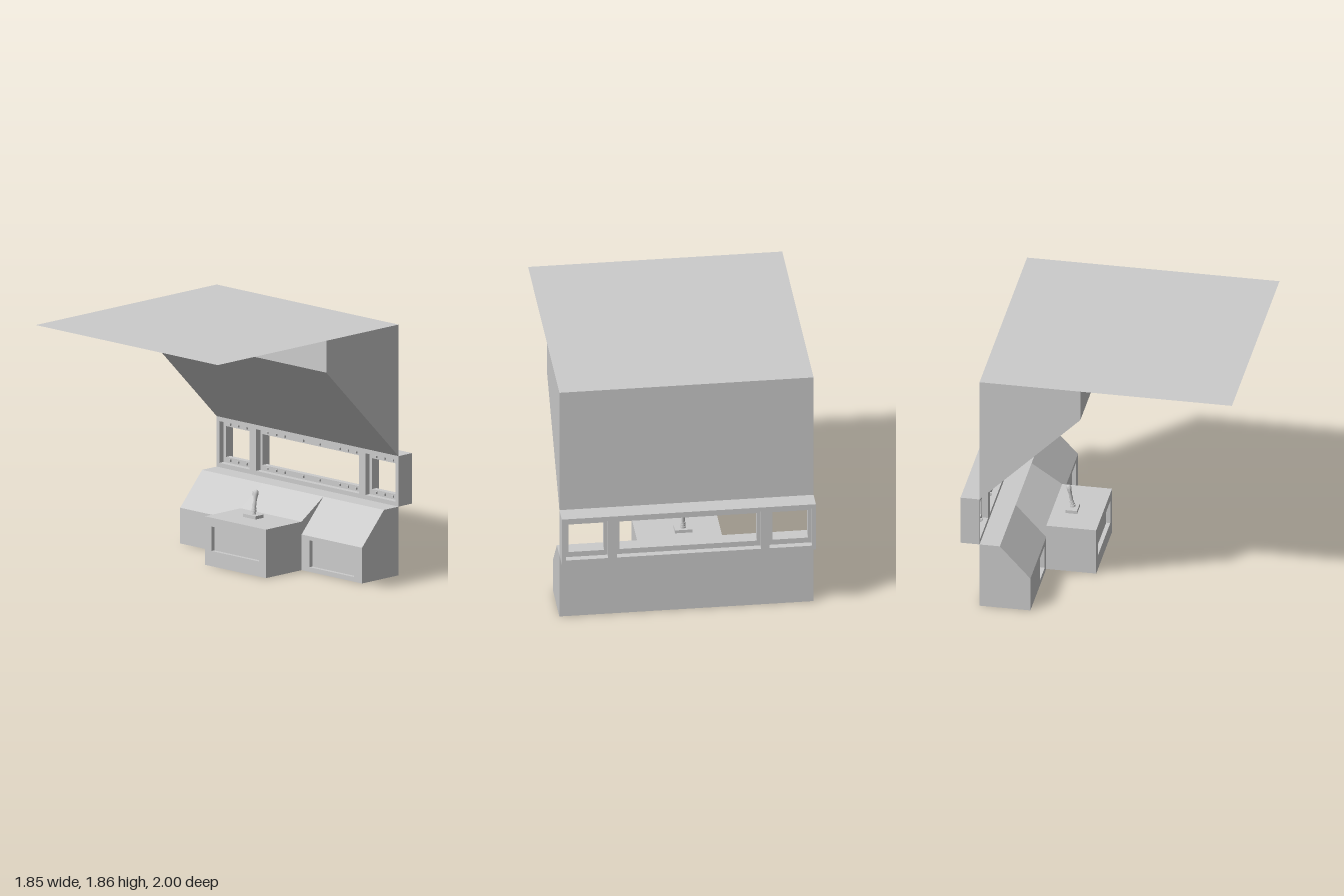
import * as THREE from 'three';

const mat = new THREE.MeshStandardMaterial({ color: 0xcccccc, side: THREE.DoubleSide, flatShading: true });
const smooth = new THREE.MeshStandardMaterial({ color: 0xcccccc });
const W = 0.927; // half width of the whole station

function add(parent, name, geo, x = 0, y = 0, z = 0, material = mat) {
  const m = new THREE.Mesh(geo, material);
  m.name = name;
  m.position.set(x, y, z);
  parent.add(m);
  return m;
}

function rect(T, [x0, x1, y0, y1]) {
  const s = new T();
  s.moveTo(x0, y0).lineTo(x1, y0).lineTo(x1, y1).lineTo(x0, y1).closePath();
  return s;
}

// Flat plate with rectangular openings, its front face at z
function plate(outer, holes, depth, z) {
  const s = rect(THREE.Shape, outer);
  s.holes = holes.map(h => rect(THREE.Path, h));
  return new THREE.ExtrudeGeometry(s, { depth, bevelEnabled: false }).translate(0, 0, z - depth);
}

// Shell swept along x from a [z, y] profile; edges listed in skip stay open
function shell(parent, name, x0, x1, profile, skip = []) {
  const g = new THREE.Group();
  g.name = name;
  parent.add(g);
  const pos = [];
  profile.forEach(([z, y], i) => {
    if (skip.includes(i)) return;
    const [z2, y2] = profile[(i + 1) % profile.length];
    const a = [x0, y, z], b = [x1, y, z], c = [x1, y2, z2], d = [x0, y2, z2];
    pos.push(...a, ...b, ...c, ...a, ...c, ...d);
  });
  const geo = new THREE.BufferGeometry();
  geo.setAttribute('position', new THREE.Float32BufferAttribute(pos, 3));
  geo.computeVertexNormals();
  add(g, name + 'Skin', geo);
  const side = new THREE.Shape(profile.map(([z, y]) => new THREE.Vector2(-z, y)));
  for (const x of [x0, x1]) add(g, name + 'Side', new THREE.ShapeGeometry(side).rotateY(Math.PI / 2), x);
  return g;
}

// Front of a console with a sunken panel
function recessedFront(parent, outer, hole, z, depth) {
  add(parent, 'frontPanel', plate(outer, [hole], depth, z));
  const [x0, x1, y0, y1] = hole;
  add(parent, 'sunkenPanel', new THREE.PlaneGeometry(x1 - x0, y1 - y0), (x0 + x1) / 2, (y0 + y1) / 2, z - depth);
}

export function createModel() {
  const root = new THREE.Group();
  root.name = 'controlStation';

  // Ceiling sheet and sloped overhead housing
  add(root, 'ceiling', new THREE.PlaneGeometry(2 * W, 1.86).rotateX(-Math.PI / 2), 0, 1.862, 0.07);
  shell(root, 'overheadHousing', -W, W, [[-0.117, 1.625], [-0.117, 1.862], [-0.86, 1.862], [-0.86, 0.885]], [1]);

  // Side consoles
  const sideProfile = [[-0.485, 0], [-0.485, 0.265], [-0.71, 0.51], [-0.86, 0.51], [-0.86, 0]];
  const rightConsole = shell(root, 'rightConsole', -W, -0.31, sideProfile, [0]);
  recessedFront(rightConsole, [-W, -0.31, 0, 0.265], [-0.553, -0.368, 0.043, 0.225], -0.485, 0.05);
  const leftConsole = shell(root, 'leftConsole', 0.31, W, sideProfile, [0]);
  recessedFront(leftConsole, [0.31, W, 0, 0.265], [0.39, 0.847, 0.035, 0.235], -0.485, 0.03);

  // Centre console, open underneath
  const centre = shell(root, 'centreConsole', -0.31, 0.31,
    [[-0.117, 0], [-0.117, 0.36], [-0.485, 0.36], [-0.71, 0.51], [-0.86, 0.51], [-0.86, 0]], [0, 5]);
  recessedFront(centre, [-0.31, 0.31, 0, 0.36], [-0.243, 0.24, 0.113, 0.295], -0.117, 0.03);

  // Window wall with three bays, each holding a bolted frame
  const windows = new THREE.Group();
  windows.name = 'windowWall';
  root.add(windows);
  const bays = [
    { x: [-0.9, -0.59], bolts: [-0.83, -0.748, -0.663] },
    { x: [-0.527, 0.525], bolts: [-0.45, -0.36, -0.275, -0.086, 0.083, 0.287, 0.37, 0.456] },
    { x: [0.588, 0.897], bolts: [0.66, 0.745, 0.83] },
  ];
  const outlines = bays.map(b => [...b.x, 0.542, 0.852]);
  add(windows, 'wall', plate([-W, W, 0.51, 0.885], outlines, 0.14, -0.86));
  bays.forEach(({ x: [x0, x1], bolts }, i) => {
    const opening = [x0 + 0.025, x1 - 0.025, 0.583, 0.812];
    add(windows, 'windowFrame', plate(outlines[i], [opening], 0.045, -0.905));
    for (const x of bolts)
      for (const y of [0.564, 0.832]) add(windows, 'bolt', new THREE.BoxGeometry(0.017, 0.017, 0.016), x, y, -0.899);
  });

  // Control stick: base, ringed boot and tilted grip
  const stick = new THREE.Group();
  stick.name = 'controlStick';
  stick.position.set(-0.038, 0.36, -0.34);
  root.add(stick);
  add(stick, 'stickBase', new THREE.BoxGeometry(0.126, 0.024, 0.084), 0, 0.012, 0);
  const lever = new THREE.Group();
  lever.name = 'lever';
  lever.position.y = 0.022;
  lever.rotation.x = -0.18;
  stick.add(lever);
  [0.021, 0.019, 0.017].forEach((r, i) =>
    add(lever, 'bootRing', new THREE.CylinderGeometry(r * 0.9, r, 0.014, 16), 0, 0.01 + i * 0.018, 0));
  const profile = [[0, 0], [0.013, 0], [0.012, 0.06], [0.014, 0.075], [0.012, 0.1], [0.015, 0.13],
    [0.018, 0.15], [0.017, 0.168], [0.01, 0.18], [0, 0.182]].map(([r, y]) => new THREE.Vector2(r, y));
  add(lever, 'grip', new THREE.LatheGeometry(profile, 16), 0, 0, 0, smooth);
  add(lever, 'thumbButton', new THREE.BoxGeometry(0.018, 0.03, 0.014), -0.018, 0.15, 0.004);

  return root;
}
